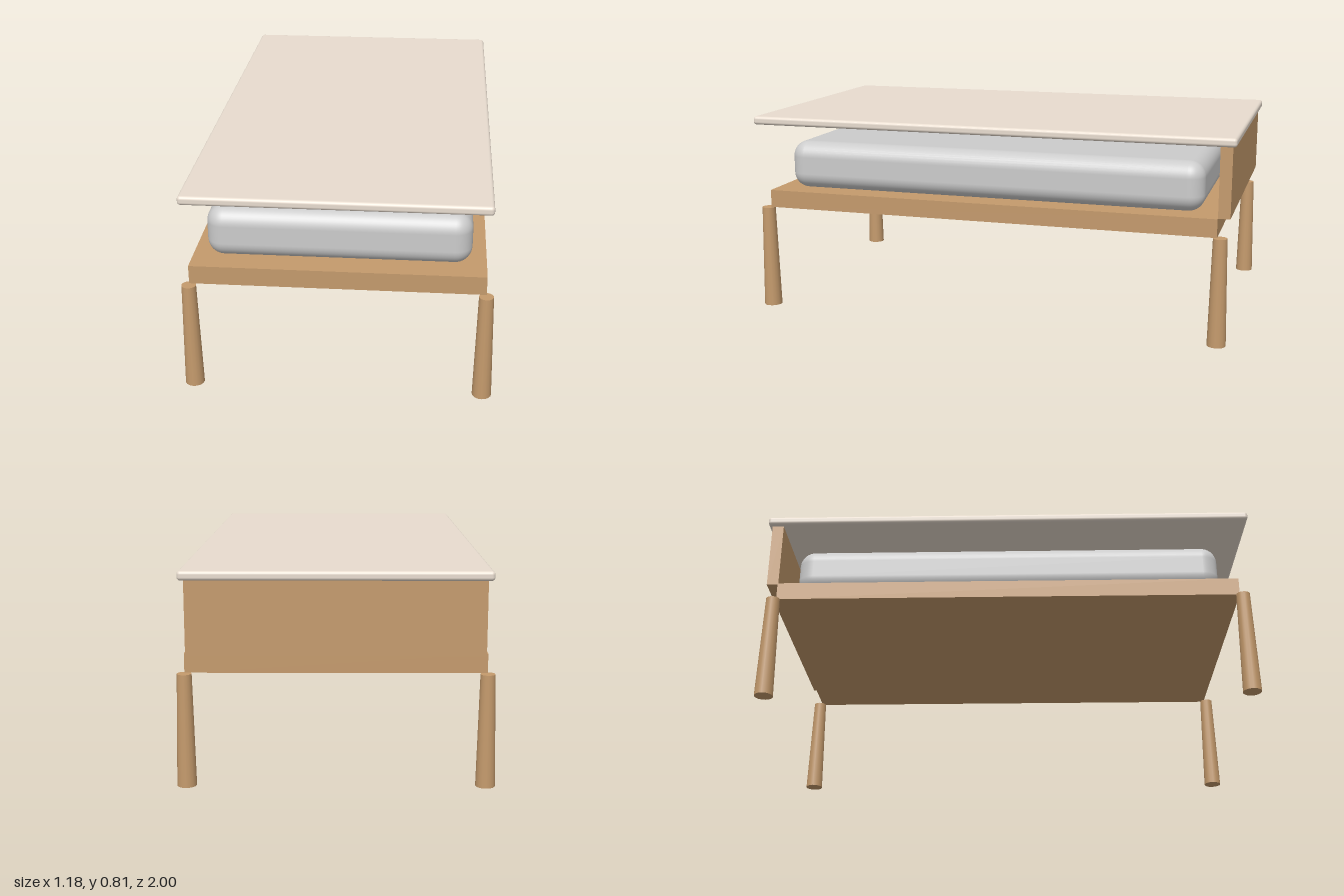
import * as THREE from 'three';
import { RoundedBoxGeometry } from 'three/addons/geometries/RoundedBoxGeometry.js';

export function createModel() {
  const model = new THREE.Group();
  model.name = 'bed';
  const wood = new THREE.MeshStandardMaterial({ color: 0xc49a6c });
  const fabric = new THREE.MeshStandardMaterial({ color: 0xe8dccf });
  const grey = new THREE.MeshStandardMaterial({ color: 0xcccccc });

  function add(name, geometry, material, x, y, z) {
    const mesh = new THREE.Mesh(geometry, material);
    mesh.name = name;
    mesh.position.set(x, y, z);
    model.add(mesh);
  }

  // Slab base and the headboard standing just behind it
  add('frame', new THREE.BoxGeometry(1.112, 0.073, 1.875), wood, 0, 0.4635, 0);
  add('headboard', new THREE.BoxGeometry(1.09, 0.28, 0.047), wood, 0, 0.64, -0.961);

  // Soft-edged mattress and the thin cover above it
  add('mattress', new RoundedBoxGeometry(1, 0.2, 1.75, 5, 0.065), grey, 0, 0.6, 0);
  add('cover', new RoundedBoxGeometry(1.134, 0.035, 2, 4, 0.0125), fabric, 0, 0.795, 0);

  // Four legs, wider at the foot
  const leg = new THREE.CylinderGeometry(0.0275, 0.037, 0.427, 16);
  for (const [end, z] of [['front', 0.95], ['back', -0.95]]) {
    for (const [side, x] of [['Left', 0.555], ['Right', -0.555]]) {
      add(`${end}${side}Leg`, leg, wood, x, 0.2135, z);
    }
  }
  return model;
}
